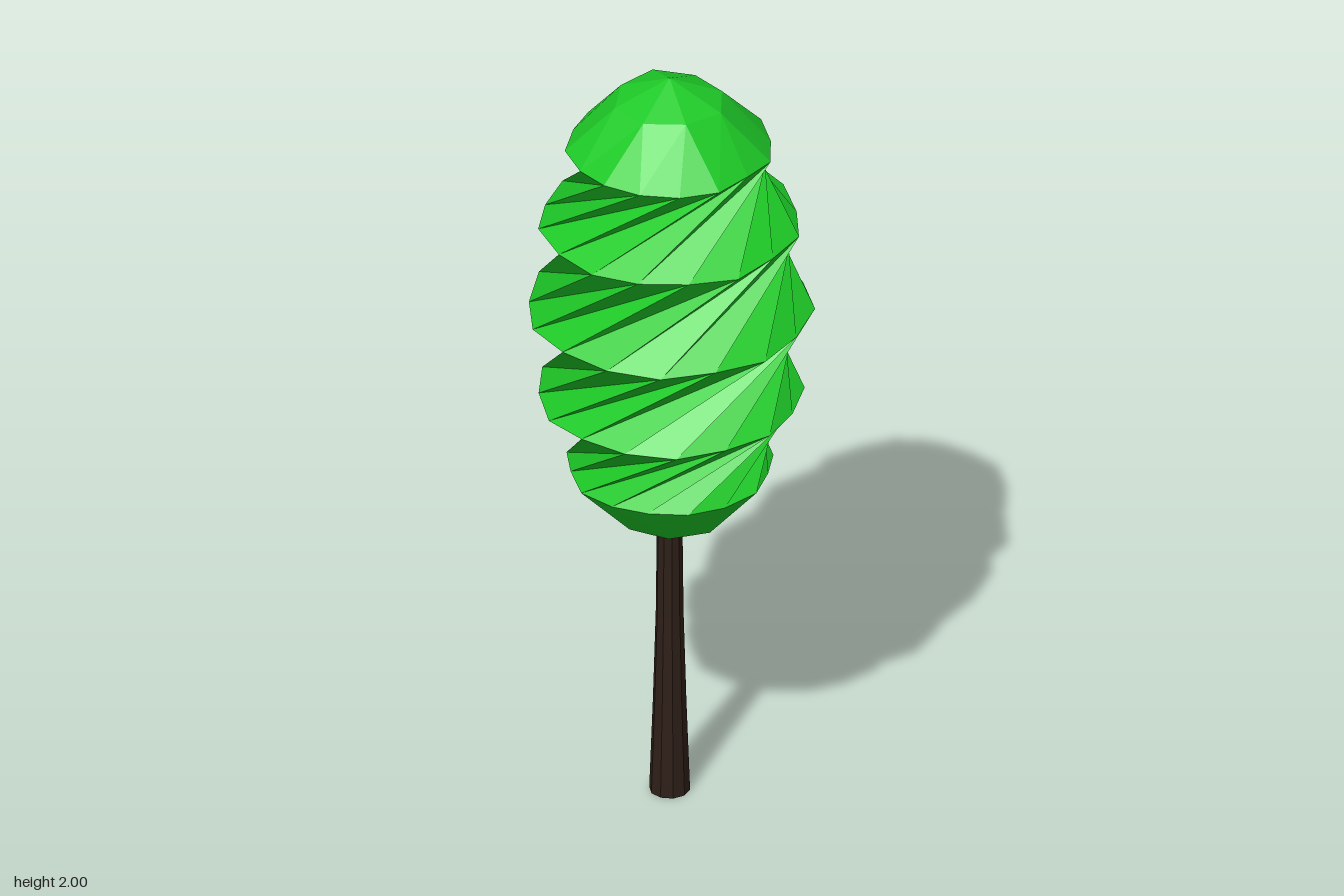
import * as THREE from 'three';

const SIDES = 16;
const STEP = 360 / SIDES;

// One ring of points; phase is in degrees, counted from the front towards +x
function ring(y, radius, phase, count, wobble = 0) {
  return Array.from({ length: count }, (_, i) => {
    const a = THREE.MathUtils.degToRad(phase + (i * 360) / count);
    const r = radius + wobble * Math.sin(i * 2.7 + y * 9);
    const h = y + wobble * 0.6 * Math.cos(i * 1.9 + y * 5);
    return new THREE.Vector3(Math.sin(a) * r, h, Math.cos(a) * r);
  });
}

function createFoliageGeometry() {
  const points = [];
  const tri = (a, b, c) => points.push(a, b, c);

  // Five full rings, each turned well past the one below
  const rings = [
    [0.915, 0.25, -112],
    [1.12, 0.322, -52],
    [1.36, 0.347, 9],
    [1.6, 0.317, 66.2],
    [1.81, 0.25, 130.8],
  ].map(([y, r, phase]) => ring(y, r, phase, SIDES, 0.006));

  // Twisted bands, split along the deep diagonal to give folded creases
  for (let k = 0; k < rings.length - 1; k++) {
    const low = rings[k], up = rings[k + 1];
    for (let j = 0; j < SIDES; j++) {
      const n = (j + 1) % SIDES;
      tri(low[j], low[n], up[n]);
      tri(low[j], up[n], up[j]);
    }
  }

  // Rounded caps: the full ring narrows to eight points, then to a pole
  function cap(outer, phase, y, poleY, top) {
    const inner = ring(y, 0.137, phase + STEP / 2, SIDES / 2, 0.005);
    const pole = new THREE.Vector3(0, poleY, 0);
    const face = (a, b, c) => (top ? tri(a, b, c) : tri(a, c, b));
    for (let j = 0; j < SIDES / 2; j++) {
      const a = outer[2 * j], b = outer[2 * j + 1], c = outer[(2 * j + 2) % SIDES];
      const p = inner[j], q = inner[(j + 1) % inner.length];
      face(a, b, p);
      face(b, c, q);
      face(b, q, p);
      face(p, q, pole);
    }
  }
  cap(rings[4], 130.8, 1.942, 2.0, true);
  cap(rings[0], -112, 0.782, 0.74, false);

  const geometry = new THREE.BufferGeometry().setFromPoints(points);
  geometry.computeVertexNormals();
  return geometry;
}

export function createModel() {
  const group = new THREE.Group();
  group.name = 'tree';

  // Slender trunk, flared at the foot and closed underneath
  const profile = [[0, 0], [0.05, 0], [0.041, 0.25], [0.034, 0.5], [0.031, 0.78]];
  const trunk = new THREE.Mesh(
    new THREE.LatheGeometry(profile.map(([r, y]) => new THREE.Vector2(r, y)), 10),
    new THREE.MeshStandardMaterial({ color: 0x2e1f18, flatShading: true })
  );
  trunk.name = 'trunk';

  // Twisted, faceted crown
  const foliage = new THREE.Mesh(
    createFoliageGeometry(),
    new THREE.MeshStandardMaterial({ color: 0x1ecb28, flatShading: true })
  );
  foliage.name = 'foliage';

  group.add(trunk, foliage);
  return group;
}
